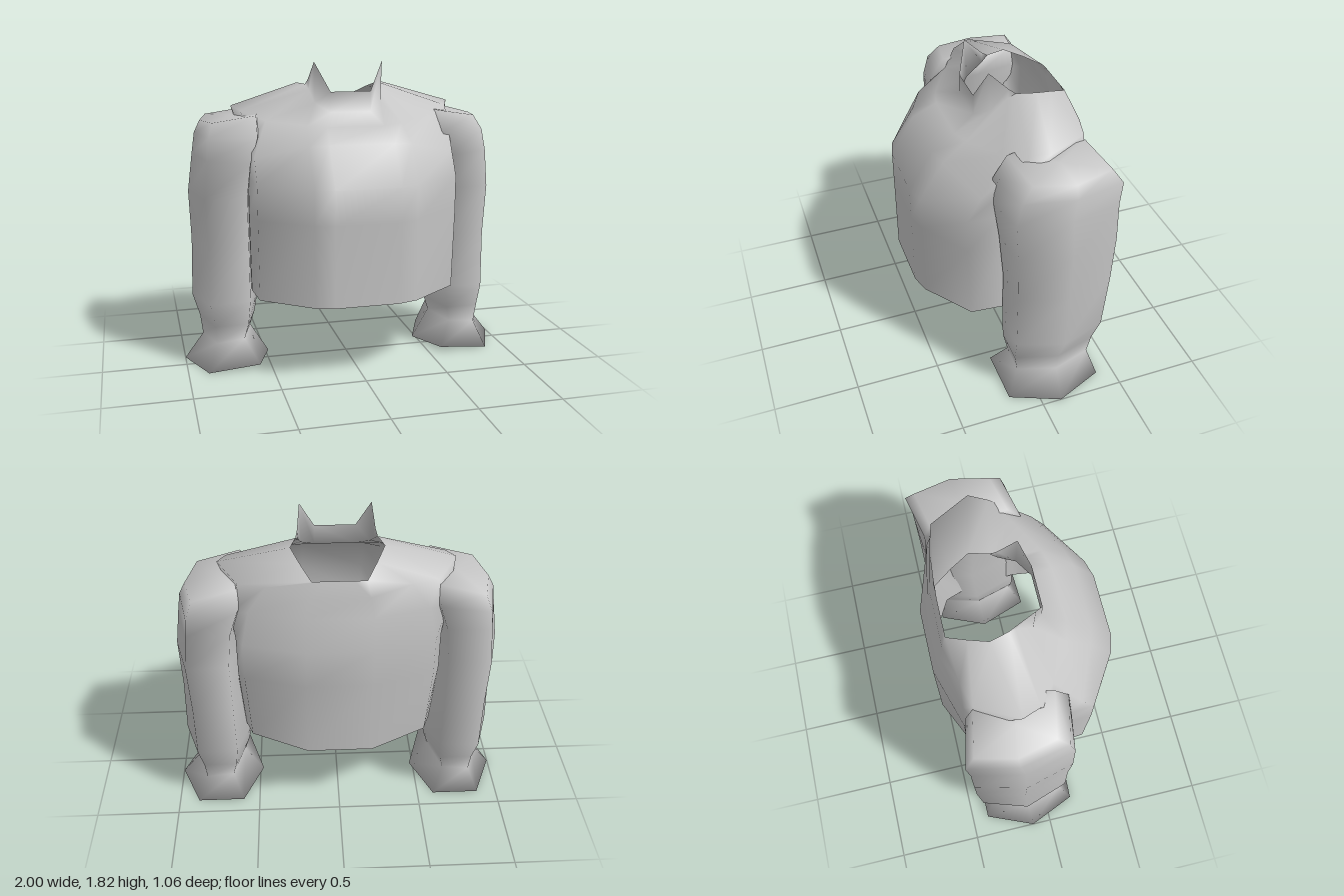
import * as THREE from 'three';

const cloth = new THREE.MeshStandardMaterial({ color: 0xc4c4c4, side: THREE.DoubleSide });
cloth.name = 'grey cloth';

// Joins closed rows of [x, y, z] points (front, +x, back, -x) into a smooth skin
function loft(name, rows) {
  const n = rows[0].length, index = [];
  for (let i = 0; i < rows.length - 1; i++) {
    for (let j = 0; j < n; j++) {
      const k = (j + 1) % n;
      const a = i * n + j, b = i * n + k, c = a + n, d = b + n;
      index.push(a, b, d, a, d, c);
    }
  }
  const g = new THREE.BufferGeometry();
  g.setAttribute('position', new THREE.Float32BufferAttribute(rows.flat(2), 3));
  g.setIndex(index);
  g.computeVertexNormals();
  const mesh = new THREE.Mesh(g, cloth);
  mesh.name = name;
  return mesh;
}

const flip = (row) => row.map(([x, y, z]) => [-x, y, z]).reverse();
// Half row (front to back on +x) completed with its mirror image
const full = (half) => [...half, ...flip(half)];

// Body outlines seen from above: x, z, front centre to back centre
const waist = [[.19, .53], [.3, .5], [.59, .32], [.61, .12], [.6, -.1], [.58, -.35], [.54, -.425], [.19, -.53]];
const hem = [[.19, .53], [.3, .5], [.585, .3], [.605, .12], [.595, -.08], [.56, -.24], [.52, -.35], [.19, -.53]];
const level = (line, front, back) => line.map(([x, z]) => [x, front + (back - front) * (.53 - z) / 1.06, z]);

const chest = [[.19, 1.38, .39], [.3, 1.37, .36], [.59, 1.3, .24], [.6, 1.35, .08],
  [.62, 1.4, -.1], [.6, 1.37, -.35], [.5, 1.4, -.41], [.19, 1.38, -.47]];
const shoulder = [[.17, 1.46, .25], [.28, 1.47, .22], [.5, 1.49, .09], [.63, 1.54, -.01],
  [.675, 1.56, -.12], [.55, 1.55, -.36], [.4, 1.55, -.4], [.17, 1.5, -.45]];
const neck = [[.12, 1.53, .12], [.2, 1.58, .05], [.215, 1.65, -.05], [.23, 1.68, -.09],
  [.26, 1.68, -.2], [.21, 1.64, -.31], [.15, 1.59, -.42], [.08, 1.59, -.42]];
// Stand-up collar with two points, fading out at the shoulders
const collar = [[.12, 1.65, .12], [.205, 1.82, .06], [.22, 1.71, -.05], ...neck.slice(3)];

// Sleeve rings: y inside, y outside, x inside, x outside, z back, z front, flat width, twist
const sleeveRings = [
  [0, 0, .48, 1, -.4, .17, .54, 0],
  [.18, .15, .59, .885, -.35, .1, .56, 0],
  [.27, .27, .56, .9, -.37, .12, .58, 0],
  [.42, .4, .53, .94, -.41, .12, .58, 0],
  [.75, .75, .54, .93, -.44, .12, .6, 0],
  [1.05, 1.05, .55, .94, -.435, .14, .62, .01],
  [1.25, 1.28, .54, .91, -.43, .155, .65, .02],
  [1.4, 1.4, .5, .89, -.44, .135, .7, .03],
  [1.53, 1.47, .5, .855, -.39, .06, .7, .025],
];

function hexRing([yIn, yOut, xIn, xOut, back, front, flat, twist]) {
  const mid = (back + front) / 2;
  return [[flat, front], [1, mid], [flat, back], [-flat, back], [-1, mid], [-flat, front]].map(([u, z]) => {
    const t = (u + 1) / 2;
    return [xIn + (xOut - xIn) * t, yIn + (yOut - yIn) * t, z - twist * Math.sign(u)];
  });
}

// Row collapsed to its middle, used to close an end
function centre(row) {
  const c = [0, 1, 2].map((k) => row.reduce((s, p) => s + p[k], 0) / row.length);
  return row.map(() => c);
}

export function createModel() {
  const model = new THREE.Group();
  model.name = 'jacket';

  const bodyRows = [level(hem, .47, .5), level(waist, .95, .97), level(waist, 1.15, 1.2), chest, shoulder, neck, collar];
  model.add(loft('bodyAndCollar', bodyRows.map(full)));

  // Sleeves with flared, closed cuffs
  const rings = sleeveRings.map(hexRing);
  rings[0][5] = [.575, .03, .18]; // raised inner front corner of the cuff
  const sleeveRows = [centre(rings[0]).map(([x, , z]) => [x, 0, z]), ...rings, centre(rings[rings.length - 1])];
  model.add(loft('leftSleeve', sleeveRows), loft('rightSleeve', sleeveRows.map(flip)));
  return model;
}
